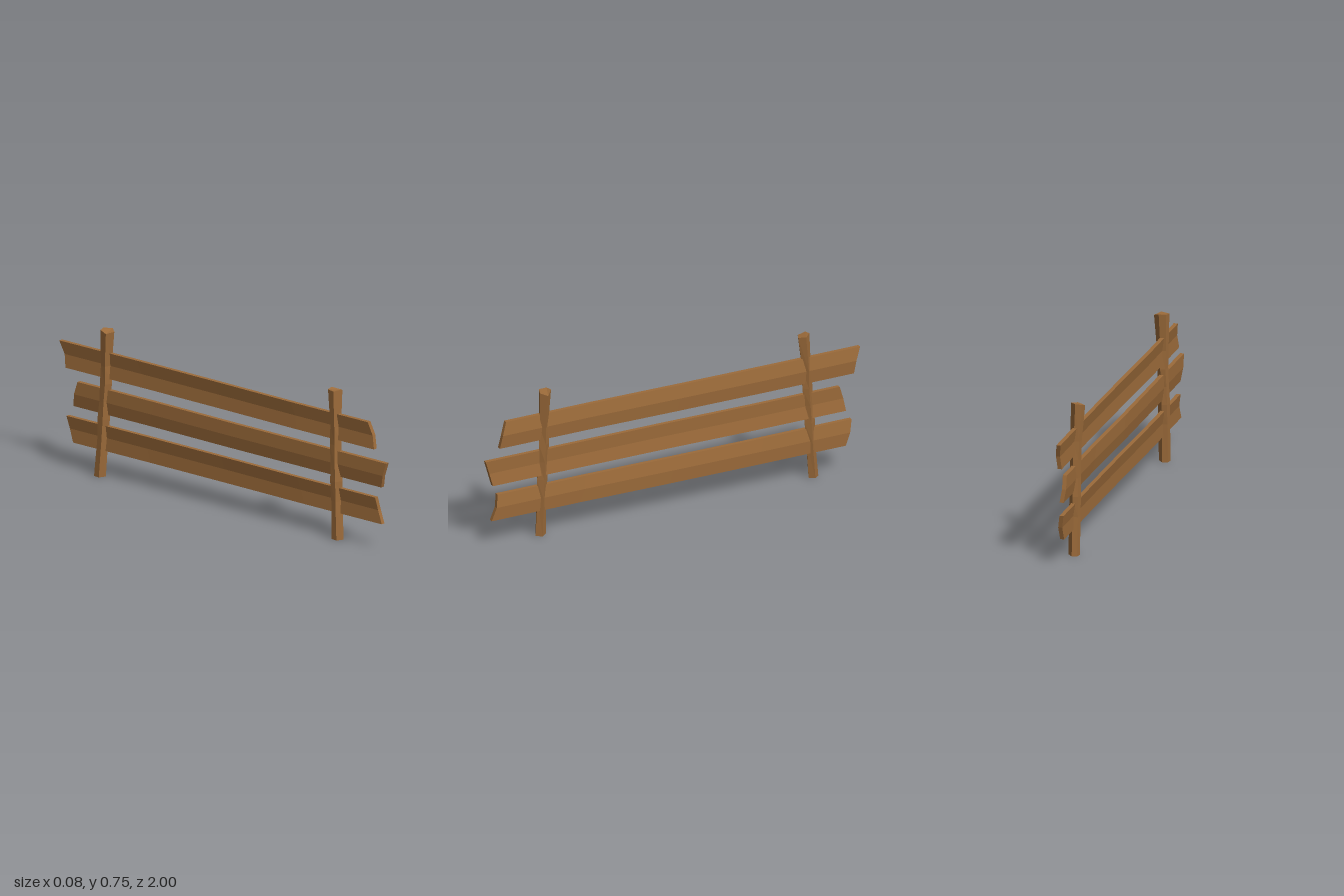
import * as THREE from 'three';

const wood = new THREE.MeshStandardMaterial({ color: 0x9c6b3a, flatShading: true });

// Skins a list of rings of [x, y, z] points and closes both ends
function loft(rings, name) {
  const out = [];
  const n = rings[0].length;
  const tri = (...pts) => pts.forEach((p) => out.push(...p));
  for (let i = 0; i < rings.length - 1; i++) {
    const r = rings[i], s = rings[i + 1];
    for (let j = 0; j < n; j++) {
      const k = (j + 1) % n;
      tri(r[j], s[j], s[k]);
      tri(r[j], s[k], r[k]);
    }
  }
  const first = rings[0], last = rings[rings.length - 1];
  for (let j = 2; j < n; j++) {
    const a = j % n, b = (j + 1) % n;
    tri(first[1], first[a], first[b]);
    tri(last[1], last[b], last[a]);
  }
  const geometry = new THREE.BufferGeometry();
  geometry.setAttribute('position', new THREE.Float32BufferAttribute(out, 3));
  geometry.computeVertexNormals();
  const mesh = new THREE.Mesh(geometry, wood);
  mesh.name = name;
  return mesh;
}

// Five-sided rough-hewn post; stations run from the top down: [y, x, z, width x, width z]
const postSection = [[0.12, 0.5], [0.5, 0.02], [0.05, -0.5], [-0.42, -0.4], [-0.5, 0.2]];
function post(name, stations, topTilt) {
  return loft(stations.map(([y, cx, cz, w, d], i) => postSection.map(([x, z], j) =>
    [cx + x * w, y + (i === 0 ? topTilt[j] : 0), cz + z * d])), name);
}

// Warped plank along z: rows are [y, x, front end z, back end z] from bottom to top
const THICK = 0.02;
function plank(name, rows, bend) {
  const rings = bend.map((dx, i) => {
    const t = i / (bend.length - 1);
    const side = (s) => rows.map(([y, x, z0, z1]) =>
      [x + dx + s * THICK / 2, y, THREE.MathUtils.lerp(z0, z1, t)]);
    return [...side(1), ...side(-1).reverse()];
  });
  return loft(rings, name);
}

export function createModel() {
  const fence = new THREE.Group();
  fence.name = 'fence';

  // Posts
  fence.add(post('frontPost', [
    [0.74, 0.003, 0.682, 0.073, 0.062],
    [0.56, -0.001, 0.687, 0.055, 0.046],
    [0.47, -0.001, 0.686, 0.051, 0.056],
    [0.38, -0.003, 0.690, 0.054, 0.046],
    [0.29, -0.005, 0.694, 0.056, 0.058],
    [0.19, -0.005, 0.697, 0.056, 0.048],
    [0, -0.006, 0.702, 0.055, 0.056],
  ], [0, -0.01, 0.005, 0.003, 0]));
  fence.add(post('backPost', [
    [0.74, -0.009, -0.704, 0.066, 0.062],
    [0.56, -0.002, -0.717, 0.056, 0.046],
    [0.47, -0.002, -0.720, 0.052, 0.056],
    [0.38, -0.002, -0.727, 0.052, 0.048],
    [0.29, -0.003, -0.733, 0.054, 0.058],
    [0.19, -0.003, -0.738, 0.054, 0.048],
    [0, -0.005, -0.754, 0.054, 0.054],
  ], [-0.005, 0, 0.005, 0.002, -0.01]));

  // Planks
  fence.add(plank('topPlank', [
    [0.495, -0.001, 0.925, -0.965],
    [0.56, 0.005, 0.912, -0.975],
    [0.625, -0.005, 0.89, -1.0],
  ], [0, -0.003, 0.002, 0.004, 0.001]));
  fence.add(plank('middlePlank', [
    [0.312, 0.005, 0.965, -0.92],
    [0.375, -0.004, 0.98, -0.91],
    [0.44, -0.002, 1.0, -0.89],
  ], [0, -0.002, -0.003, 0.002, 0]));
  fence.add(plank('bottomPlank', [
    [0.13, 0.002, 0.97, -0.92],
    [0.195, 0.005, 0.945, -0.942],
    [0.258, -0.005, 0.935, -0.955],
  ], [0, -0.002, 0.002, 0.003, 0]));

  return fence;
}
